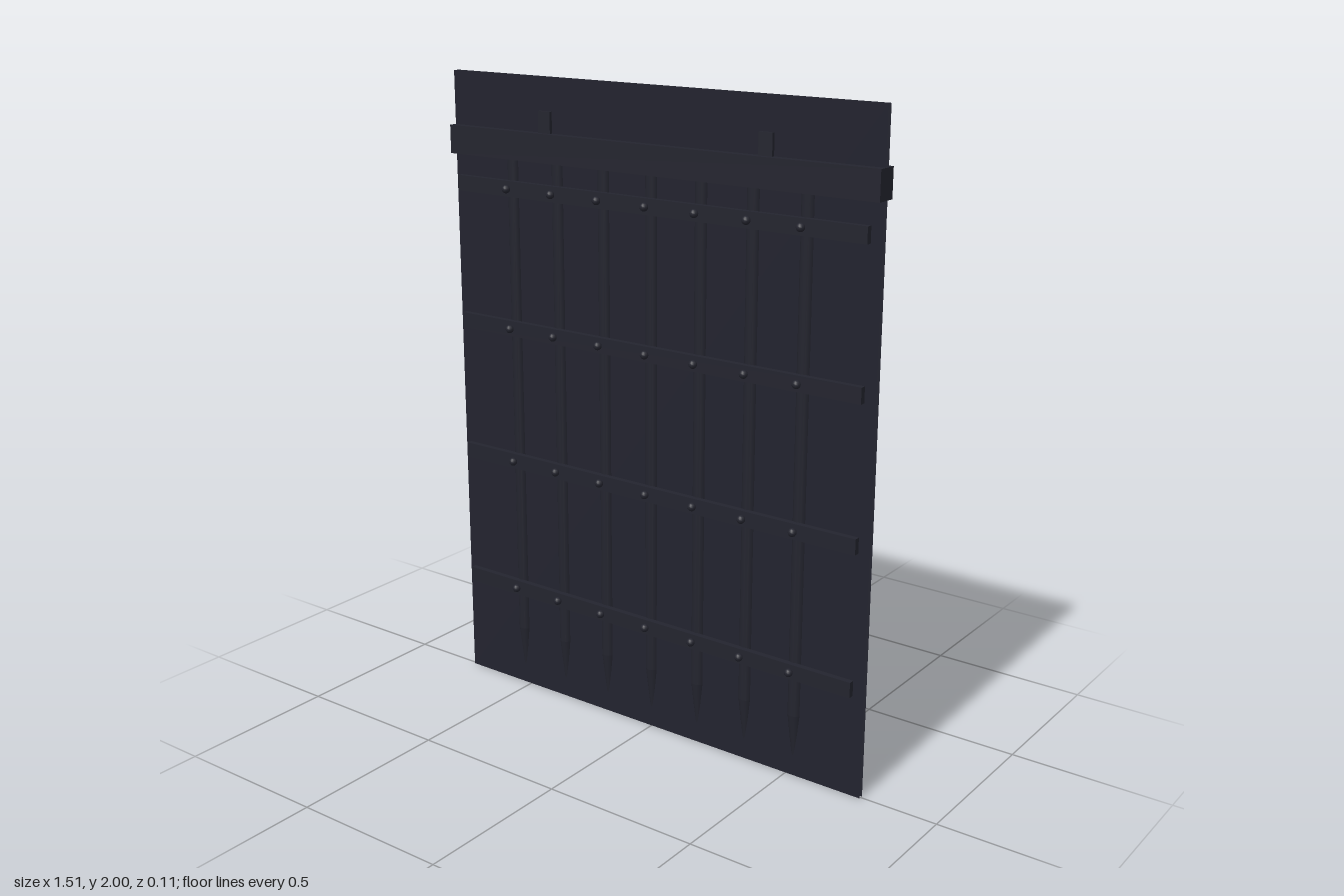
import * as THREE from 'three';

export function createModel() {
  const model = new THREE.Group();
  model.name = 'gate';
  const iron = new THREE.MeshStandardMaterial({ color: 0x23242e });
  iron.name = 'dark iron';
  const sheet = new THREE.MeshStandardMaterial({ color: 0x22232e, side: THREE.DoubleSide });
  sheet.name = 'dark sheet';

  function add(name, geometry, x, y, z, material = iron) {
    const mesh = new THREE.Mesh(geometry, material);
    mesh.name = name;
    mesh.position.set(x, y, z);
    model.add(mesh);
    return mesh;
  }

  // Thin sheets closing the grille, front and back
  const panel = new THREE.PlaneGeometry(1.51, 2);
  for (const side of [1, -1]) {
    add('sheet', panel, 0, 1, side * 0.007, sheet).rotation.y = side > 0 ? 0 : Math.PI;
  }

  // Heavy top beam
  add('topBeam', new THREE.BoxGeometry(1.51, 0.087, 0.066), 0, 1.792, 0);

  // Lifting lugs and the rings they carry
  const lug = new THREE.BoxGeometry(0.045, 0.07, 0.034);
  const ring = new THREE.TorusGeometry(0.064, 0.006, 8, 32);
  for (const side of [-1, 1]) {
    add('liftingLug', lug, side * 0.39, 1.865, 0);
    add('liftingRing', ring, side * 0.39, 1.93, 0);
  }

  // Upright bars with pointed feet
  const spacing = 0.1745;
  const bar = new THREE.CylinderGeometry(0.022, 0.022, 1.57, 12);
  const spike = new THREE.ConeGeometry(0.022, 0.2, 12);
  spike.rotateX(Math.PI);
  for (let i = -3; i <= 3; i++) {
    add('uprightBar', bar, i * spacing, 0.985, 0);
    add('spike', spike, i * spacing, 0.1, 0);
  }

  // Cross straps on both faces, riveted at every bar
  const strap = new THREE.BoxGeometry(1.45, 0.048, 0.018);
  const rivet = new THREE.SphereGeometry(0.013, 10, 8);
  for (const y of [0.35, 0.787, 1.223, 1.66]) {
    for (const side of [-1, 1]) {
      add('crossStrap', strap, 0, y, side * 0.028);
      for (let i = -3; i <= 3; i++) add('rivet', rivet, i * spacing, y, side * 0.043);
    }
  }
  return model;
}
